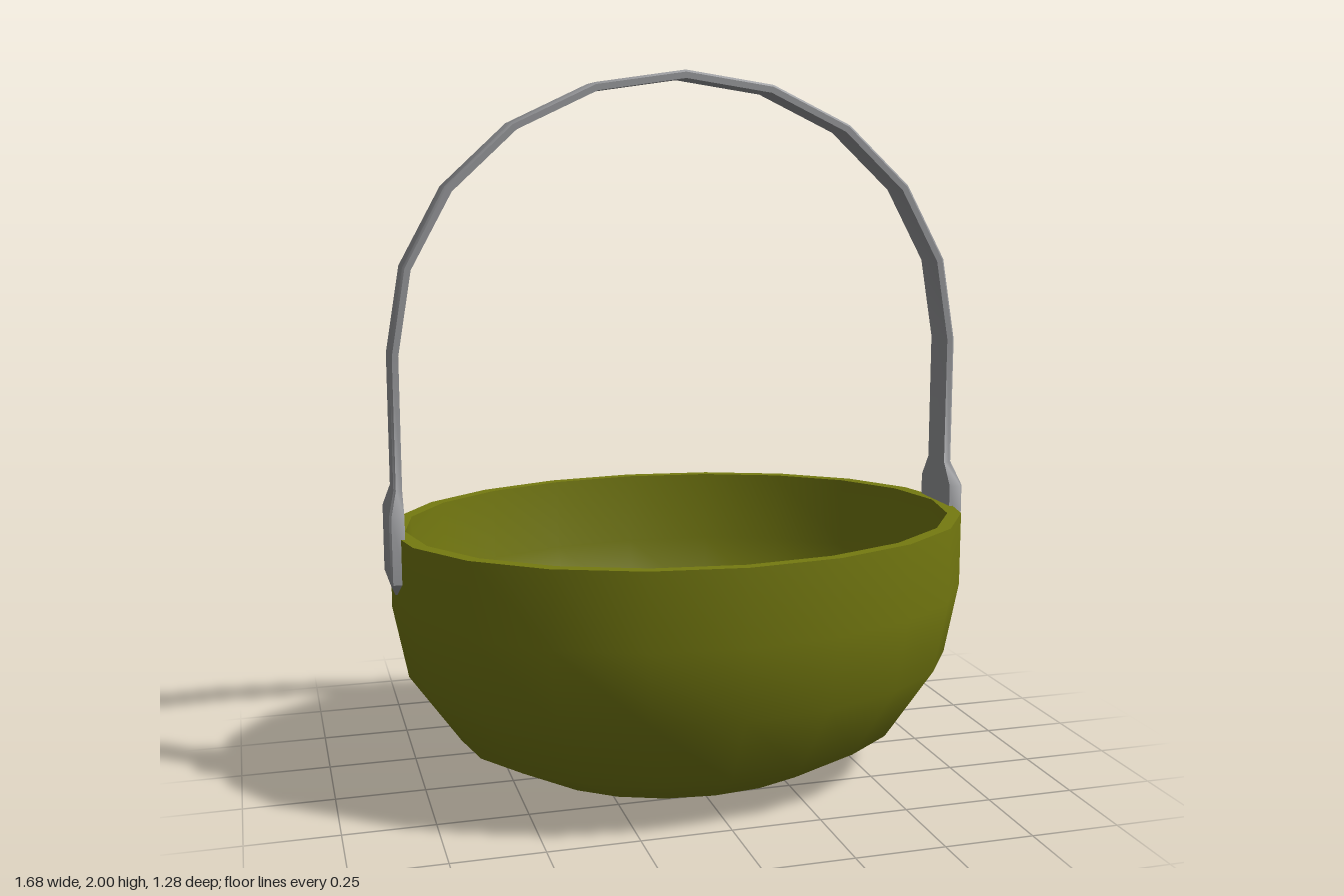
import * as THREE from 'three';
import { toCreasedNormals } from 'three/addons/utils/BufferGeometryUtils.js';

const olive = new THREE.MeshStandardMaterial({ color: 0x757a10 });
olive.name = 'olive';
const grey = new THREE.MeshStandardMaterial({ color: 0x97989b });
grey.name = 'grey';

const DEPTH_RATIO = 0.771; // the bowl is an oval

// Oval lathe surface; an upward profile faces outward, a downward one inward
function ovalLathe(name, profile) {
  const points = profile.map(([r, y]) => new THREE.Vector2(r, y));
  const geometry = new THREE.LatheGeometry(points, 20);
  geometry.scale(1, 1, DEPTH_RATIO);
  const mesh = new THREE.Mesh(geometry, olive);
  mesh.name = name;
  return mesh;
}

// Strap swept through sections, each with outer and inner points and a half width
function strapGeometry(stations) {
  const positions = [], index = [], c = 0.006;
  for (const { outer, inner, w } of stations) {
    const edge = outer.clone().lerp(inner, c / outer.distanceTo(inner));
    const section = [[outer, w - c], [outer, c - w], [edge, -w], [inner, -w], [inner, w], [edge, w]];
    for (const [p, z] of section) positions.push(p.x, p.y, z);
  }
  const n = 6, last = (stations.length - 1) * n;
  for (let s = 0; s < last; s += n) {
    for (let k = 0; k < n; k++) {
      const a = s + k, b = s + (k + 1) % n;
      index.push(a, b, a + n, b, b + n, a + n);
    }
  }
  for (let k = 1; k < n - 1; k++) {
    index.push(0, k + 1, k, last, last + k, last + k + 1);
  }
  const geometry = new THREE.BufferGeometry();
  geometry.setAttribute('position', new THREE.Float32BufferAttribute(positions, 3));
  geometry.setIndex(index);
  return toCreasedNormals(geometry, 0.6);
}

export function createModel() {
  const model = new THREE.Group();
  model.name = 'basket';

  // Bowl: outer wall, flat rim, inner wall
  const bowl = new THREE.Group();
  bowl.name = 'bowl';
  bowl.add(
    ovalLathe('outerWall', [[0, 0], [0.22, 0.004], [0.44, 0.033], [0.645, 0.135],
      [0.787, 0.335], [0.828, 0.54], [0.828, 0.75]]),
    ovalLathe('rim', [[0.828, 0.75], [0.787, 0.75]]),
    ovalLathe('innerWall', [[0.787, 0.75], [0.787, 0.54], [0.75, 0.35], [0.61, 0.16],
      [0.42, 0.063], [0.21, 0.034], [0, 0.03]]),
  );
  model.add(bowl);

  // Handle: widened end plate, straight leg, half-oval arch, then mirrored down
  const leg = [[0.585, 0.822, 0.05], [0.625, 0.838, 0.098], [0.81, 0.838, 0.098], [0.875, 0.82, 0.055]]
    .map(([y, x, w]) => ({ outer: new THREE.Vector2(x, y), inner: new THREE.Vector2(0.797, y), w }));
  const arch = [];
  for (let i = 0; i <= 10; i++) {
    const a = (i / 10) * Math.PI;
    const at = (rx, ry) => new THREE.Vector2(rx * Math.cos(a), 1.24 + ry * Math.sin(a));
    arch.push({ outer: at(0.82, 0.76), inner: at(0.797, 0.737), w: 0.055 });
  }
  const flip = (p) => new THREE.Vector2(-p.x, p.y);
  const otherLeg = leg.map(({ outer, inner, w }) => ({ outer: flip(outer), inner: flip(inner), w })).reverse();
  const handle = new THREE.Mesh(strapGeometry([...leg, ...arch, ...otherLeg]), grey);
  handle.name = 'handle';
  model.add(handle);

  return model;
}
